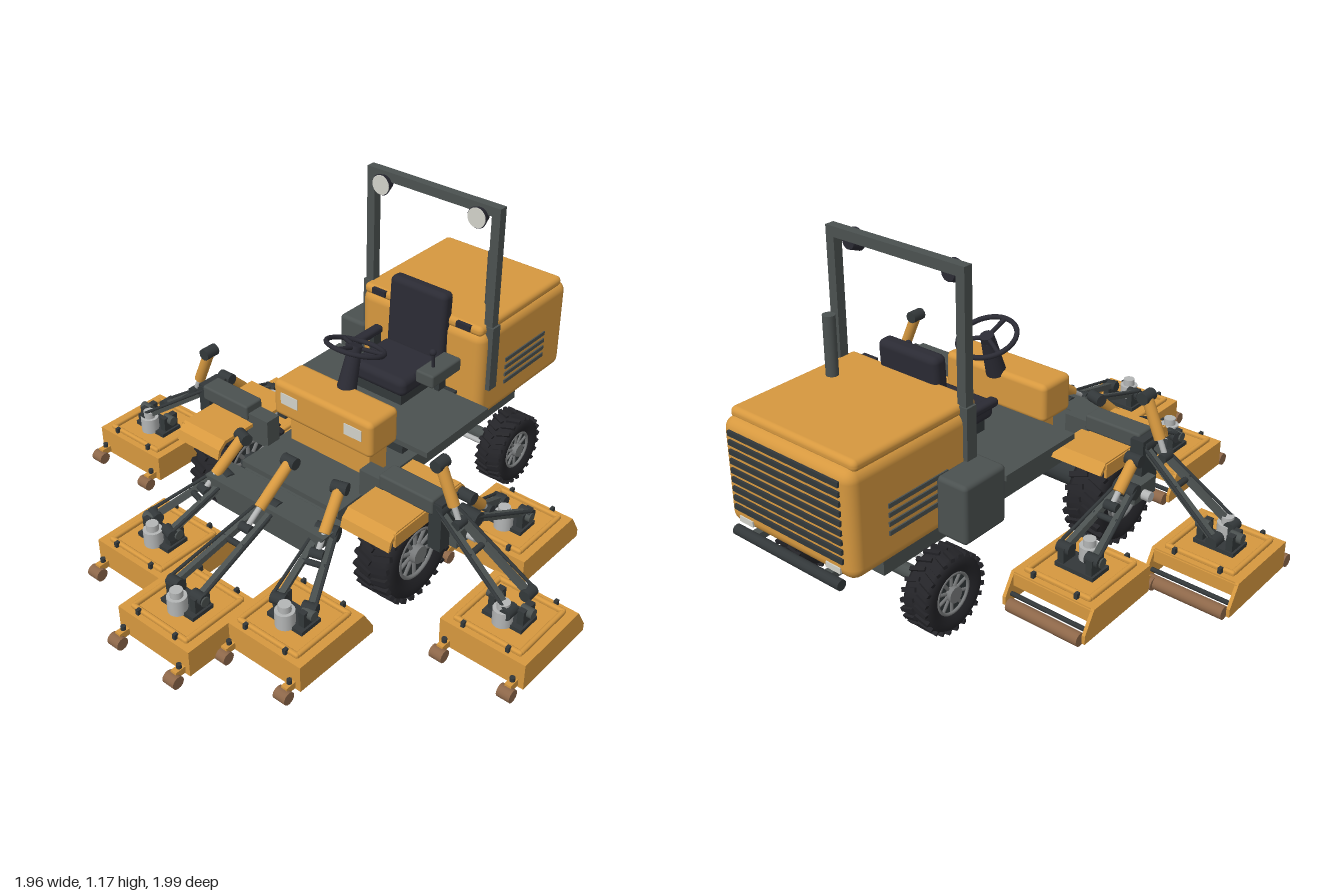
import * as THREE from 'three';
import { RoundedBoxGeometry } from 'three/addons/geometries/RoundedBoxGeometry.js';
import { mergeGeometries } from 'three/addons/utils/BufferGeometryUtils.js';

const paint = (name, color, side = THREE.FrontSide) => {
  const m = new THREE.MeshStandardMaterial({ color, side });
  m.name = name;
  return m;
};
const yellow = paint('yellow paint', 0xd6983f);
const grey = paint('dark grey frame', 0x4b5150);
const dark = paint('dark fittings', 0x33383a);
const black = paint('black seat', 0x2b2b34);
const rubber = paint('tyre rubber', 0x242428);
const silver = paint('silver metal', 0xb4b6b6);
const steel = paint('rim steel', 0x77797a);
const lens = paint('lamp lens', 0xd2d2ca);
const brown = paint('brown roller', 0x8d6749);
const V = (x, y, z) => new THREE.Vector3(x, y, z);

function add(parent, name, geo, mat, x = 0, y = 0, z = 0) {
  const m = new THREE.Mesh(geo, mat);
  m.name = name;
  m.position.set(x, y, z);
  parent.add(m);
  return m;
}
// box given by its extents; r rounds the edges
function box(parent, name, mat, [x0, x1], [y0, y1], [z0, z1], r = 0) {
  const s = [x1 - x0, y1 - y0, z1 - z0];
  const geo = r ? new RoundedBoxGeometry(...s, 3, r) : new THREE.BoxGeometry(...s);
  return add(parent, name, geo, mat, (x0 + x1) / 2, (y0 + y1) / 2, (z0 + z1) / 2);
}
// round (or square, sides = 4) bar between two points
function rod(parent, name, mat, a, b, r, sides = 12, r2 = r) {
  const geo = new THREE.CylinderGeometry(r2, r, a.distanceTo(b), sides);
  if (sides === 4) geo.rotateY(Math.PI / 4);
  const m = add(parent, name, sides === 4 ? geo.toNonIndexed() : geo, mat);
  if (sides === 4) m.geometry.computeVertexNormals();
  m.position.copy(a).add(b).multiplyScalar(0.5);
  m.quaternion.setFromUnitVectors(V(0, 1, 0), b.clone().sub(a).normalize());
  return m;
}
// plate drawn in (z, y) and extruded along x, centred on x = 0
function sidePlate(points, width) {
  const shape = new THREE.Shape(points.map(([z, y]) => new THREE.Vector2(-z, y)));
  const geo = new THREE.ExtrudeGeometry(shape, { depth: width, bevelEnabled: false });
  return geo.translate(0, 0, -width / 2).rotateY(Math.PI / 2);
}

function wheel(name, R, w, side) {
  const g = new THREE.Group();
  g.name = name;
  const h = w / 2, rim = R * 0.54, T = R * 0.94;
  const profile = [[rim, -h * 0.8], [R * 0.7, -h], [R * 0.88, -h * 0.95], [T, -h * 0.7],
    [T, h * 0.7], [R * 0.88, h * 0.95], [R * 0.7, h], [rim, h * 0.8]];
  const turn = (geo) => geo.rotateZ(-Math.PI / 2);
  add(g, 'tyre', turn(new THREE.LatheGeometry(profile.map((p) => new THREE.Vector2(...p)), 40)), rubber);
  // slanted tread lugs, staggered on both halves
  const lugs = [];
  for (let i = 0; i < 48; i++) {
    const s = i % 2 ? 1 : -1;
    lugs.push(new THREE.BoxGeometry(h * 0.95, R * 0.1, R * 0.1).rotateY(s * 0.35)
      .translate(s * h * 0.5, R * 0.95, 0).rotateX((i / 48) * Math.PI * 2));
  }
  add(g, 'treadLugs', mergeGeometries(lugs), rubber);
  add(g, 'rimDisc', turn(new THREE.CylinderGeometry(rim, rim, w * 0.6, 32)), dark);
  for (const s of [-1, 1]) {
    const ring = add(g, 'rimRing', new THREE.TorusGeometry(rim * 0.94, R * 0.04, 8, 32), steel, s * h * 0.75);
    ring.rotation.y = Math.PI / 2;
    for (let i = 0; i < 10; i++) {
      const a = (i / 10) * Math.PI * 2;
      const c = V(s * h * 0.62, Math.cos(a), Math.sin(a));
      rod(g, 'spoke', steel, V(c.x, c.y * rim * 0.3, c.z * rim * 0.3), V(c.x, c.y * rim * 0.94, c.z * rim * 0.94), R * 0.045, 6);
    }
  }
  add(g, 'hub', turn(new THREE.CylinderGeometry(R * 0.18, R * 0.2, w * 0.3, 20)), steel, side * h * 0.7);
  return g;
}

function mowerDeck(x, z) {
  const g = new THREE.Group();
  g.name = 'mowerDeck';
  g.position.set(x, 0, z);
  box(g, 'deckTop', yellow, [-0.155, 0.155], [0.115, 0.135], [-0.15, 0.155]);
  box(g, 'deckFrontWall', yellow, [-0.155, 0.155], [0.035, 0.13], [0.143, 0.155]);
  box(g, 'deckRearWall', yellow, [-0.155, 0.155], [0.085, 0.13], [-0.155, -0.145]);
  const skirt = sidePlate([[0.155, 0.035], [0.155, 0.135], [-0.15, 0.135], [-0.195, 0.06], [-0.195, 0.03]], 0.012);
  for (const s of [-1, 1]) {
    add(g, 'deckSideWall', skirt, yellow, s * 0.156);
    // raised rim on the deck top
    box(g, 'deckRib', yellow, [s * 0.122 - 0.009, s * 0.122 + 0.009], [0.13, 0.15], [-0.12, 0.125], 0.008);
    box(g, 'deckRib', yellow, [-0.13, 0.13], [0.13, 0.15], [s * 0.122 - 0.007, s * 0.122 + 0.011], 0.008);
    for (const t of [-1, 1]) box(g, 'deckLatch', dark, [s * 0.085 - 0.006, s * 0.085 + 0.006], [0.135, 0.155], [t * 0.136 - 0.008, t * 0.136 + 0.008]);
    // caster in front
    box(g, 'casterArm', yellow, [s * 0.13 - 0.012, s * 0.13 + 0.012], [0.04, 0.065], [0.15, 0.195]);
    rod(g, 'casterWheel', brown, V(s * 0.13 - 0.024, 0.034, 0.198), V(s * 0.13 + 0.024, 0.034, 0.198), 0.023, 16);
    rod(g, 'casterPin', dark, V(s * 0.13, 0.04, 0.17), V(s * 0.13, 0.08, 0.17), 0.009);
    // clevis for the lift arm
    box(g, 'clevis', dark, [s * 0.055 - 0.012, s * 0.055 + 0.012], [0.13, 0.205], [-0.035, 0.03]);
    rod(g, 'clevisPin', grey, V(s * 0.04, 0.19, 0), V(s * 0.085, 0.19, 0), 0.018, 12);
  }
  rod(g, 'rearRoller', brown, V(-0.14, 0.034, -0.188), V(0.14, 0.034, -0.188), 0.023, 20);
  rod(g, 'rollerBar', dark, V(-0.155, 0.06, -0.165), V(0.155, 0.06, -0.165), 0.008, 8);
  box(g, 'clevisBase', dark, [-0.075, 0.075], [0.13, 0.15], [-0.04, 0.05]);
  rod(g, 'motor', silver, V(0, 0.14, 0.045), V(0, 0.2, 0.045), 0.034, 16);
  rod(g, 'motorCap', silver, V(0, 0.2, 0.045), V(0, 0.225, 0.045), 0.022, 16);
  rod(g, 'spindle', dark, V(0, 0.065, 0), V(0, 0.12, 0), 0.03, 16);
  const blade = box(g, 'blade', grey, [-0.13, 0.13], [0.058, 0.066], [-0.014, 0.014]);
  blade.rotation.y = 0.5;
  return g;
}

// V-shaped lift arm: pivot on the frame to the deck's clevis, with a hydraulic ram above
function liftArm(root, pivot, end, ramTop, ramEnd) {
  const g = new THREE.Group();
  g.name = 'liftArm';
  root.add(g);
  const across = end.clone().sub(pivot).setY(0).normalize().cross(V(0, 1, 0));
  const off = (p, d, y = 0) => p.clone().addScaledVector(across, d).add(V(0, y, 0));
  for (const s of [-1, 1]) {
    rod(g, 'armBar', grey, off(pivot, s * 0.022), off(end, s * 0.055), 0.015, 4);
    rod(g, 'armRod', dark, off(pivot, s * 0.035, 0.01), off(end, s * 0.075, 0.015), 0.006, 8);
    rod(g, 'armJoint', dark, off(end, s * 0.03), off(end, s * 0.08), 0.021, 12);
  }
  const mid = pivot.clone().lerp(end, 0.45);
  rod(g, 'armBrace', dark, off(mid, -0.045), off(mid, 0.045), 0.011, 8);
  rod(g, 'armPivot', dark, off(pivot, -0.04), off(pivot, 0.04), 0.027, 14);
  const neck = ramTop.clone().lerp(ramEnd, 0.7);
  rod(g, 'ramBarrel', yellow, ramTop, neck, 0.02, 16);
  rod(g, 'ramRod', silver, neck, ramEnd, 0.01);
  rod(g, 'ramMount', dark, off(ramTop, -0.028), off(ramTop, 0.028), 0.022, 12);
  rod(g, 'ramFoot', dark, off(ramEnd, -0.024), off(ramEnd, 0.024), 0.017, 12);
}

export function createModel() {
  const root = new THREE.Group();
  root.name = 'gangMower';

  // chassis and floors
  box(root, 'mainFrame', grey, [-0.2, 0.2], [0.235, 0.31], [-0.78, 0.3]);
  box(root, 'lowerFloor', grey, [-0.22, 0.22], [0.305, 0.33], [-0.4, 0.29]);
  box(root, 'seatPlatform', grey, [-0.345, 0.345], [0.435, 0.455], [-0.375, -0.02]);
  box(root, 'platformSupport', dark, [-0.18, 0.18], [0.32, 0.44], [-0.42, -0.1]);
  const bar = box(root, 'frontCrossbar', grey, [-0.27, 0.27], [0.22, 0.32], [0.31, 0.42]);
  const p = bar.geometry.attributes.position;
  for (let i = 0; i < p.count; i++) if (p.getY(i) < 0) p.setX(i, p.getX(i) * 0.8);
  bar.geometry.computeVertexNormals();
  box(root, 'sideTank', grey, [-0.39, -0.27], [0.335, 0.54], [-0.62, -0.43], 0.015);

  // wheels and axles
  for (const s of [-1, 1]) {
    const f = wheel('frontWheel', 0.182, 0.145, s);
    f.position.set(s * 0.385, 0.182, 0.145);
    const r = wheel('rearWheel', 0.138, 0.11, s);
    r.position.set(s * 0.288, 0.138, -0.615);
    root.add(f, r);
  }
  rod(root, 'frontAxle', dark, V(-0.36, 0.182, 0.145), V(0.36, 0.182, 0.145), 0.045, 16);
  rod(root, 'rearAxle', grey, V(-0.26, 0.138, -0.615), V(0.26, 0.138, -0.615), 0.025, 12);
  rod(root, 'steeringTie', silver, V(-0.26, 0.155, -0.55), V(0.26, 0.155, -0.55), 0.01, 8);
  box(root, 'rearAxleMount', dark, [-0.06, 0.06], [0.13, 0.24], [-0.66, -0.57]);

  // engine hood with grilles
  box(root, 'hood', yellow, [-0.275, 0.275], [0.335, 0.7], [-0.97, -0.415], 0.04);
  box(root, 'hoodLid', yellow, [-0.265, 0.265], [0.685, 0.725], [-0.94, -0.42], 0.018);
  for (let i = 0; i < 4; i++) for (const s of [-1, 1])
    box(root, 'sideLouver', grey, [s * 0.276 - 0.004, s * 0.276 + 0.004], [0.435 + i * 0.031, 0.45 + i * 0.031], [-0.825, -0.57]);
  for (let i = 0; i < 9; i++)
    box(root, 'rearGrilleBar', dark, [-0.235, 0.235], [0.395 + i * 0.032, 0.412 + i * 0.032], [-0.978, -0.968]);
  rod(root, 'rearBumper', dark, V(-0.23, 0.325, -0.98), V(0.23, 0.325, -0.98), 0.018, 12);
  for (const s of [-1, 1]) {
    box(root, 'bumperBracket', grey, [s * 0.16 - 0.015, s * 0.16 + 0.015], [0.31, 0.335], [-0.98, -0.75]);
    box(root, 'tailLamp', lens, [s * 0.19 - 0.03, s * 0.19 + 0.03], [0.355, 0.375], [-0.974, -0.966]);
    box(root, 'hoodLatch', black, [s * 0.19 - 0.03, s * 0.19 + 0.03], [0.7, 0.722], [-0.43, -0.413]);
  }
  rod(root, 'exhaustPipe', grey, V(0.18, 0.7, -0.595), V(0.18, 0.93, -0.595), 0.021, 20);

  // roll bar and work lamps
  for (const s of [-1, 1]) {
    box(root, 'rollBarPost', grey, [s * 0.267 - 0.017, s * 0.267 + 0.017], [0.465, 1.17], [-0.492, -0.458]);
    box(root, 'rollBarSleeve', grey, [s * 0.27 - 0.022, s * 0.27 + 0.022], [0.465, 0.72], [-0.497, -0.453]);
    rod(root, 'lampHousing', black, V(s * 0.205, 1.125, -0.475), V(s * 0.205, 1.125, -0.437), 0.025, 24, 0.039);
    rod(root, 'lampLens', lens, V(s * 0.205, 1.125, -0.438), V(s * 0.205, 1.125, -0.433), 0.036, 24);
  }
  box(root, 'rollBarTop', grey, [-0.28, 0.28], [1.135, 1.17], [-0.492, -0.458]);

  // seat
  box(root, 'seatBase', dark, [-0.1, 0.1], [0.45, 0.51], [-0.37, -0.19]);
  box(root, 'seatCushion', black, [-0.125, 0.125], [0.5, 0.57], [-0.39, -0.165], 0.025);
  box(root, 'seatBack', black, [-0.125, 0.125], [0.54, 0.815], [-0.445, -0.385], 0.022).rotation.x = -0.06;
  for (const s of [-1, 1]) {
    box(root, 'armrest', black, [s * 0.157 - 0.019, s * 0.157 + 0.019], [0.575, 0.605], [-0.385, -0.205], 0.012);
    box(root, 'armrestSupport', dark, [s * 0.15 - 0.01, s * 0.15 + 0.01], [0.47, 0.58], [-0.37, -0.33]);
  }
  box(root, 'controlConsole', grey, [0.165, 0.24], [0.585, 0.635], [-0.345, -0.18], 0.008);
  rod(root, 'joystick', black, V(0.2, 0.63, -0.235), V(0.2, 0.69, -0.23), 0.006, 8);
  add(root, 'joystickKnob', new THREE.SphereGeometry(0.013, 12, 8), black, 0.2, 0.695, -0.23);

  // dashboard and steering
  box(root, 'dashboard', yellow, [-0.22, 0.22], [0.445, 0.585], [-0.025, 0.125], 0.02);
  box(root, 'dashboardSupport', yellow, [-0.18, 0.18], [0.325, 0.46], [-0.01, 0.08]);
  for (const s of [-1, 1]) box(root, 'headlight', lens, [s * 0.143 - 0.038, s * 0.143 + 0.038], [0.505, 0.548], [0.12, 0.128]);
  rod(root, 'steeringColumn', black, V(0, 0.57, -0.01), V(0, 0.7, -0.05), 0.036, 16, 0.026);
  const steer = new THREE.Group();
  steer.name = 'steeringWheel';
  steer.position.set(0, 0.717, -0.057);
  steer.rotation.x = -0.36;
  add(steer, 'steeringRim', new THREE.TorusGeometry(0.102, 0.009, 8, 40).rotateX(Math.PI / 2), black);
  rod(steer, 'steeringHub', black, V(0, -0.02, 0), V(0, 0.008, 0), 0.025, 16);
  for (const a of [0, 2.1, 4.2])
    rod(steer, 'steeringSpoke', black, V(0, 0, 0), V(Math.sin(a) * 0.1, 0, Math.cos(a) * 0.1), 0.008, 8);
  root.add(steer);

  // front fenders and the side beams that carry the outer arms
  const fender = sidePlate([[0.35, 0.335], [0.34, 0.37], [0.31, 0.395], [-0.03, 0.395], [-0.06, 0.36],
    [-0.05, 0.355], [-0.025, 0.382], [0.305, 0.382], [0.33, 0.36], [0.34, 0.335]], 0.2);
  for (const s of [-1, 1]) {
    add(root, 'frontFender', fender, yellow, s * 0.38);
    const lip = [s * 0.48 - 0.005, s * 0.48 + 0.005];
    box(root, 'fenderLip', yellow, lip, [0.34, 0.39], [-0.03, 0.32]);
    box(root, 'sideBeam', grey, [s * 0.41 - 0.11, s * 0.41 + 0.11], [0.402, 0.46], [0.1, 0.18], 0.008);
    box(root, 'beamBracket', grey, [s * 0.26 - 0.05, s * 0.26 + 0.05], [0.32, 0.43], [0.11, 0.17]);
    box(root, 'beamEnd', dark, [s * 0.525 - 0.025, s * 0.525 + 0.025], [0.26, 0.45], [0.08, 0.17]);
    box(root, 'rearArmMount', grey, [s * 0.55 - 0.03, s * 0.55 + 0.03], [0.26, 0.32], [0, 0.12]);
    rod(root, 'mountPin', silver, V(s * 0.51, 0.28, 0.05), V(s * 0.61, 0.28, 0.05), 0.018, 12);
  }

  // seven cutting decks with their lift arms
  root.add(mowerDeck(0, 0.775));
  liftArm(root, V(0, 0.3, 0.38), V(0, 0.195, 0.775), V(0, 0.425, 0.28), V(0, 0.275, 0.5));
  for (const s of [-1, 1]) {
    root.add(mowerDeck(s * 0.305, 0.6), mowerDeck(s * 0.82, 0.148), mowerDeck(s * 0.55, -0.25));
    liftArm(root, V(s * 0.235, 0.3, 0.36), V(s * 0.305, 0.195, 0.6), V(s * 0.22, 0.425, 0.28), V(s * 0.26, 0.27, 0.44));
    liftArm(root, V(s * 0.53, 0.42, 0.135), V(s * 0.84, 0.195, 0.135), V(s * 0.515, 0.585, 0.14), V(s * 0.6, 0.39, 0.14));
    liftArm(root, V(s * 0.545, 0.31, 0.0), V(s * 0.55, 0.195, -0.26), V(s * 0.55, 0.41, 0.03), V(s * 0.55, 0.29, -0.09));
  }
  return root;
}
